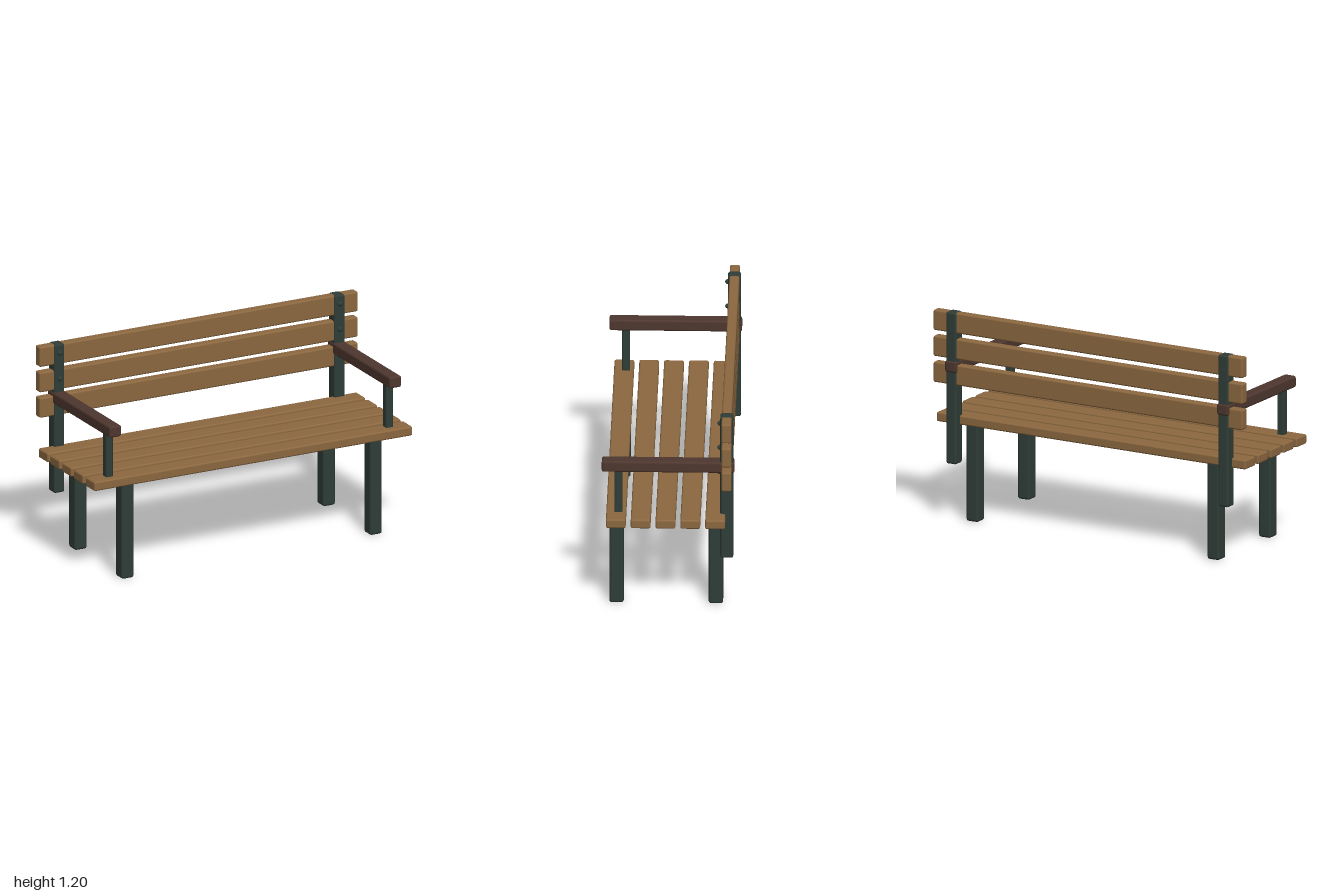
import * as THREE from 'three';
import { RoundedBoxGeometry } from 'three/addons/geometries/RoundedBoxGeometry.js';

export function createModel() {
  const bench = new THREE.Group();
  bench.name = 'bench';
  const wood = new THREE.MeshStandardMaterial({ color: 0x8b6840 });
  const darkWood = new THREE.MeshStandardMaterial({ color: 0x4e372f });
  const iron = new THREE.MeshStandardMaterial({ color: 0x2f3d37 });

  const add = (name, geometry, material, x, y, z) => {
    const mesh = new THREE.Mesh(geometry, material);
    mesh.name = name;
    mesh.position.set(x, y, z);
    bench.add(mesh);
  };
  // Softly bevelled bar given by its size and centre
  const bar = (name, material, [w, h, d], [x, y, z], bevel = 0.01) =>
    add(name, new RoundedBoxGeometry(w, h, d, 2, bevel), material, x, y, z);

  // Five seat slats, front to back
  for (let i = 0; i < 5; i++) {
    bar('seatSlat', wood, [2, 0.054, 0.11], [0, 0.577, 0.2875 - i * 0.1375]);
  }

  // Three backrest slats
  for (let i = 0; i < 3; i++) {
    bar('backSlat', wood, [2, 0.117, 0.055], [0, 1.14 - i * 0.149, -0.325]);
  }

  for (const side of [-1, 1]) {
    // Legs under the seat
    for (const [name, z] of [['frontLeg', 0.2875], ['backLeg', -0.2625]]) {
      bar(name, iron, [0.077, 0.56, 0.08], [side * 0.78, 0.28, z], 0.014);
    }

    // Upright carrying the backrest, hanging below the seat
    bar('backPost', iron, [0.066, 0.87, 0.072], [side * 0.88, 0.765, -0.325], 0.012);

    // Armrest and its front support
    bar('armrest', darkWood, [0.075, 0.066, 0.735], [side * 0.88, 0.889, 0], 0.012);
    bar('armSupport', iron, [0.044, 0.28, 0.044], [side * 0.88, 0.73, 0.2755], 0.008);

    // Round bolt heads on the front of each upright
    for (let i = 0; i < 3; i++) {
      add('bolt', new THREE.SphereGeometry(0.0145, 12, 8), iron, side * 0.88, 1.15 - i * 0.15, -0.2875);
    }
  }
  return bench;
}
